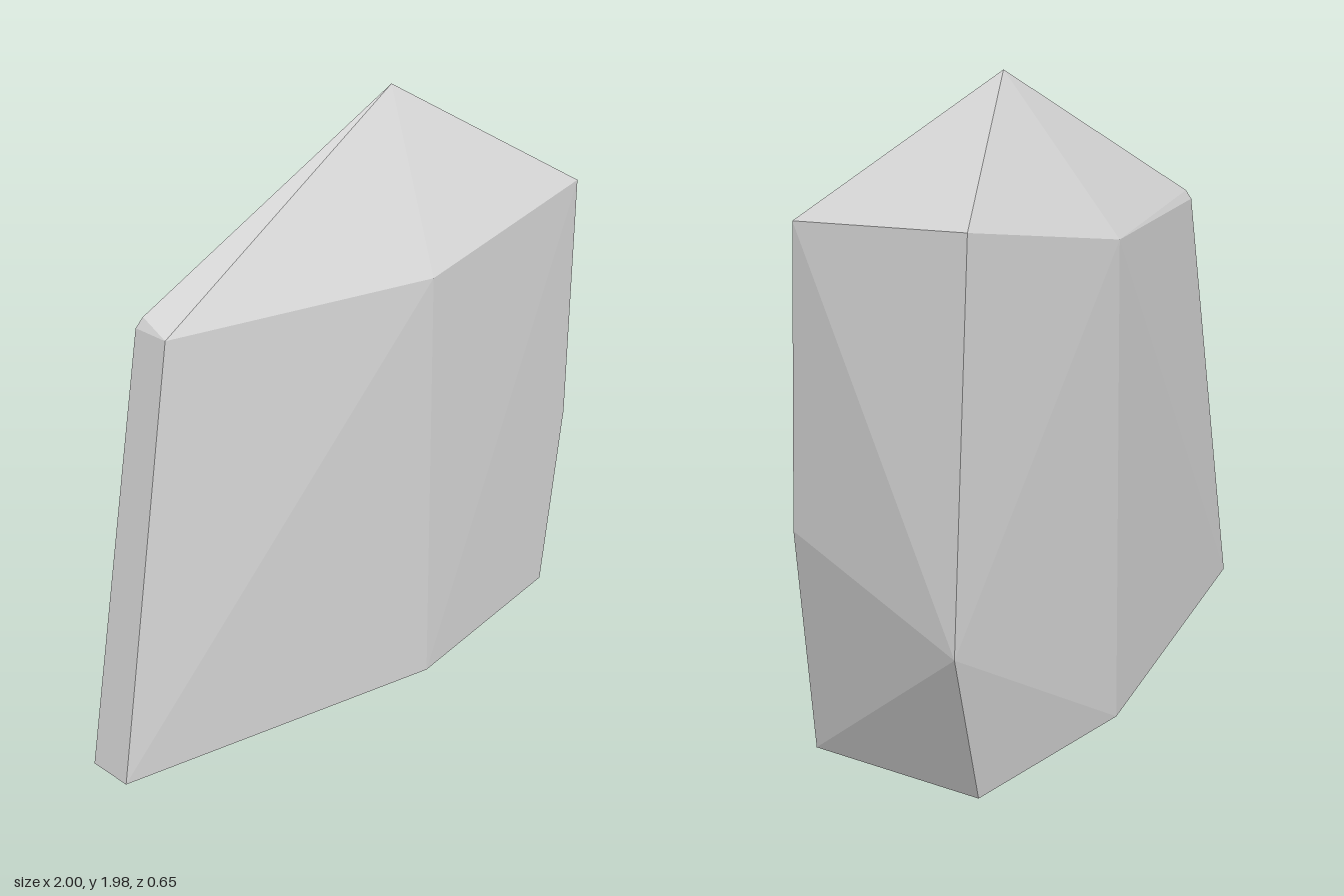
import * as THREE from 'three';
import { ConvexGeometry } from 'three/addons/geometries/ConvexGeometry.js';

export function createModel() {
  const group = new THREE.Group();
  group.name = 'rock';

  const stone = new THREE.MeshStandardMaterial({ color: 0xd4d4d4 });
  stone.name = 'pale grey stone';

  // Front outline, from the narrow end's top corner round to its foot
  const front = [
    [-0.73, 1.54, 0.065], [0.13, 1.49, 0.31], [0.87, 1.57, 0.315], [0.91, 0.69, 0.31],
    [0.84, 0.01, 0.31], [0.15, 0.012, 0.325], [-1, 0.15, 0.08],
  ];
  // Back outline, with a small chipped corner at the narrow end's top
  const back = [
    [-0.73, 1.54, -0.05], [-0.71, 1.57, -0.04], [0.14, 1.49, -0.3], [0.87, 1.57, -0.29],
    [1, 0.46, -0.33], [0.84, 0, -0.285], [0.15, 0.012, -0.305], [-1, 0.15, -0.06],
  ];
  const peak = [0.28, 1.98, 0.015];

  // Flat facets stretched over all corners
  const corners = [...front, ...back, peak].map((p) => new THREE.Vector3(...p));
  const boulder = new THREE.Mesh(new ConvexGeometry(corners), stone);
  boulder.name = 'boulder';
  group.add(boulder);
  return group;
}
